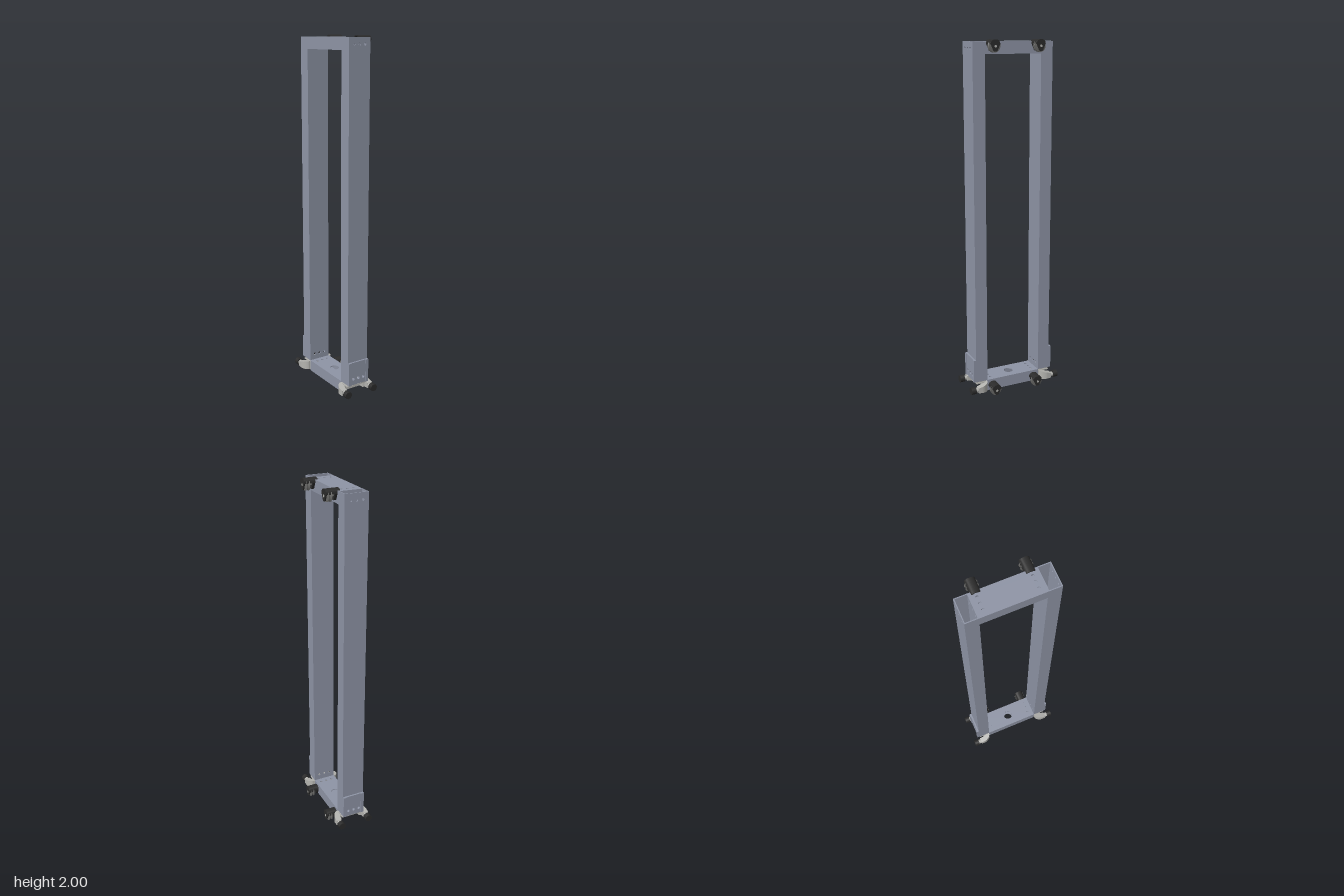
import * as THREE from 'three';

const mat = (color) => new THREE.MeshStandardMaterial({ color });
const CX = -0.011, W = 0.132, T = 0.005;       // frame centre, width, wall thickness
const HOLES_X = [-0.034, 0, 0.034];

export function createModel() {
  const model = new THREE.Group();
  const paint = mat(0x8e94a5), metal = mat(0xb4b4b0), rubber = mat(0x2b2b2b);

  const add = (parent, name, geo, material, x = 0, y = 0, z = 0) => {
    const m = new THREE.Mesh(geo, material);
    m.name = name;
    m.position.set(x, y, z);
    parent.add(m);
    return m;
  };
  const group = (parent, name) => {
    const g = new THREE.Group();
    g.name = name;
    parent.add(g);
    return g;
  };
  const box = (parent, name, material, w, h, d, x, y, z) =>
    add(parent, name, new THREE.BoxGeometry(w, h, d), material, x, y, z);

  // Flat plate in XY with round holes [x, y, r], centred on its thickness
  const plateGeo = (w, h, t, holes = []) => {
    const s = new THREE.Shape();
    s.moveTo(-w / 2, -h / 2).lineTo(w / 2, -h / 2).lineTo(w / 2, h / 2).lineTo(-w / 2, h / 2).closePath();
    for (const [x, y, r] of holes) s.holes.push(new THREE.Path().absarc(x, y, r, 0, Math.PI * 2, true));
    return new THREE.ExtrudeGeometry(s, { depth: t, bevelEnabled: false, curveSegments: 12 }).translate(0, 0, -t / 2);
  };
  const row = (y, r = 0.007) => HOLES_X.map((x) => [x, y, r]);

  // Rectangular ring or slotted plate lying flat
  const flatRing = (w, d, iw, id, t, round) => {
    const s = new THREE.Shape();
    s.moveTo(-w / 2, -d / 2).lineTo(w / 2, -d / 2).lineTo(w / 2, d / 2).lineTo(-w / 2, d / 2).closePath();
    const p = new THREE.Path(), a = iw / 2, b = id / 2;
    if (round) {
      p.absarc(a - b, 0, b, Math.PI / 2, -Math.PI / 2, true);
      p.absarc(b - a, 0, b, -Math.PI / 2, -Math.PI * 1.5, true);
    } else p.moveTo(-a, -b).lineTo(-a, b).lineTo(a, b).lineTo(a, -b).closePath();
    s.holes.push(p);
    return new THREE.ExtrudeGeometry(s, { depth: t, bevelEnabled: false }).rotateX(-Math.PI / 2);
  };

  // Hollow uprights with bolt holes, cover plates at the foot
  const Y0 = 0.08, Y1 = 1.99, H = Y1 - Y0, YM = (Y0 + Y1) / 2;
  for (const side of [1, -1]) {
    const up = group(model, side > 0 ? 'frontUpright' : 'backUpright');
    const holes = [...row(1.955 - YM), ...row(0.115 - YM)];
    for (const z of [0.1675, 0.2325])
      add(up, 'uprightWall', plateGeo(W, H, T, holes), paint, CX, YM, side * z);
    for (const x of [-1, 1])
      box(up, 'uprightSideWall', paint, T, H, 0.06, CX + x * (W - T) / 2, YM, side * 0.2);
    add(up, 'endGasket', flatRing(0.122, 0.06, 0.106, 0.046, 0.01), rubber, CX, 0.081, side * 0.2);
    add(up, 'coverPlate', plateGeo(W, 0.135, 0.01, row(0.115 - 0.1475, 0.009)), paint, CX, 0.1475, side * 0.24);
    for (const x of [-1, 1])
      box(up, 'coverEdge', paint, 0.018, 0.135, 0.004, CX + x * 0.057, 0.1475, side * 0.247);
  }

  // Hollow cross beams; the lower one has a large centre opening
  const beam = (name, y, big) => {
    const g = group(model, name);
    const L = 0.33, h = 0.065;
    const holes = [...row(0.133), ...row(-0.133)];
    if (big) holes.push([0, 0, 0.027]);
    for (const s of [-1, 1]) {
      add(g, 'beamFace', plateGeo(W, L, T, holes), paint, CX, y + s * (h - T) / 2, 0).rotation.x = -Math.PI / 2;
      box(g, 'beamSide', paint, T, h - 2 * T, L, CX + s * (W - T) / 2, y, 0);
    }
  };
  beam('topBeam', 1.9575, false);
  beam('bottomBeam', 0.0475, true);

  // Foot brackets: angle plate, two curved arms, stems and rubber feet
  const armGeo = () => {
    const s = new THREE.Shape();
    s.moveTo(0.058, 0.168).lineTo(0.074, 0.168);
    s.bezierCurveTo(0.09, 0.172, 0.104, 0.195, 0.104, 0.212);
    s.lineTo(0.104, 0.235).lineTo(0.072, 0.235).lineTo(0.07, 0.21).lineTo(0.058, 0.205).closePath();
    const g = new THREE.ExtrudeGeometry(s, { depth: 1, bevelEnabled: false, curveSegments: 10 });
    const p = g.attributes.position;
    // thin the arm toward its outer end
    for (let i = 0; i < p.count; i++) {
      const x = p.getX(i), z = p.getY(i), k = (z - 0.168) / 0.067;
      const half = 0.026 - 0.011 * k, mid = 0.048 - 0.006 * k;
      p.setXYZ(i, x, mid + (0.5 - p.getZ(i)) * 2 * half, z);
    }
    g.computeVertexNormals();
    return g;
  };
  for (const side of [0, 1]) {
    const b = group(model, side ? 'backFootBracket' : 'frontFootBracket');
    b.position.x = CX;
    const base = add(b, 'bracketPlate', plateGeo(W, 0.066, 0.006, row(0)), metal, 0, 0.069, 0.2);
    base.rotation.x = -Math.PI / 2;
    add(b, 'slotRim', flatRing(0.12, 0.058, 0.092, 0.026, 0.008, true), metal, 0, 0.072, 0.2);
    add(b, 'bracketBack', plateGeo(W, 0.05, 0.008, row(0.007)), metal, 0, 0.046, 0.17);
    const arm = armGeo();
    for (const s of [1, -1]) {
      const a = group(b, s > 0 ? 'leftArm' : 'rightArm');
      a.scale.x = s;
      add(a, 'arm', arm, metal);
      const turn = (r, len) => new THREE.CylinderGeometry(r, r, len, 28).rotateX(Math.PI / 2);
      add(a, 'stem', turn(0.014, 0.024), metal, 0.087, 0.042, 0.243);
      add(a, 'rubberFoot', turn(0.0205, 0.028), rubber, 0.087, 0.042, 0.264);
    }
    if (side) { b.rotation.y = Math.PI; b.children.forEach((c) => { c.position.x *= -1; }); }
  }

  // Side rollers: dark tapering hood around a grooved wheel
  const hoodShape = () => {
    const s = new THREE.Shape();
    s.moveTo(-0.026, 0.012);
    s.bezierCurveTo(-0.026, 0.026, -0.018, 0.033, 0, 0.033);
    s.bezierCurveTo(0.018, 0.033, 0.026, 0.026, 0.026, 0.012);
    s.lineTo(0.011, -0.022);
    s.quadraticCurveTo(0, -0.032, -0.011, -0.022);
    return s.closePath();
  };
  const roofShape = () => {
    const s = new THREE.Shape();
    s.moveTo(-0.026, 0.008);
    s.bezierCurveTo(-0.026, 0.026, -0.018, 0.034, 0, 0.034);
    s.bezierCurveTo(0.018, 0.034, 0.026, 0.026, 0.026, 0.008);
    s.lineTo(0.021, 0.008);
    s.bezierCurveTo(0.021, 0.022, 0.014, 0.028, 0, 0.028);
    s.bezierCurveTo(-0.014, 0.028, -0.021, 0.022, -0.021, 0.008);
    return s.closePath();
  };
  const alongX = (shape, depth) =>
    new THREE.ExtrudeGeometry(shape, { depth, bevelEnabled: false, curveSegments: 10 }).rotateY(Math.PI / 2);
  const groove = [[0.005, -0.01], [0.032, -0.01], [0.032, -0.007], [0.02, -0.002], [0.02, 0.002],
    [0.032, 0.007], [0.032, 0.01], [0.005, 0.01]].map(([r, y]) => new THREE.Vector2(r, y));
  for (const y of [0.034, 1.966]) for (const z of [0.132, -0.132]) {
    const c = group(model, 'sideRoller');
    c.position.set(0, y, z);
    add(c, 'hoodRoof', alongX(roofShape(), 0.078), rubber, 0.04);
    add(c, 'innerCheek', alongX(hoodShape(), 0.014), rubber, 0.055);
    add(c, 'outerCheek', alongX(hoodShape(), 0.006), rubber, 0.112);
    add(c, 'wheel', new THREE.LatheGeometry(groove, 32).rotateZ(-Math.PI / 2), mat(0x6a6a68), 0.096);
    add(c, 'axle', new THREE.CylinderGeometry(0.007, 0.007, 0.055, 20).rotateZ(Math.PI / 2), metal, 0.0915);
  }
  return model;
}
